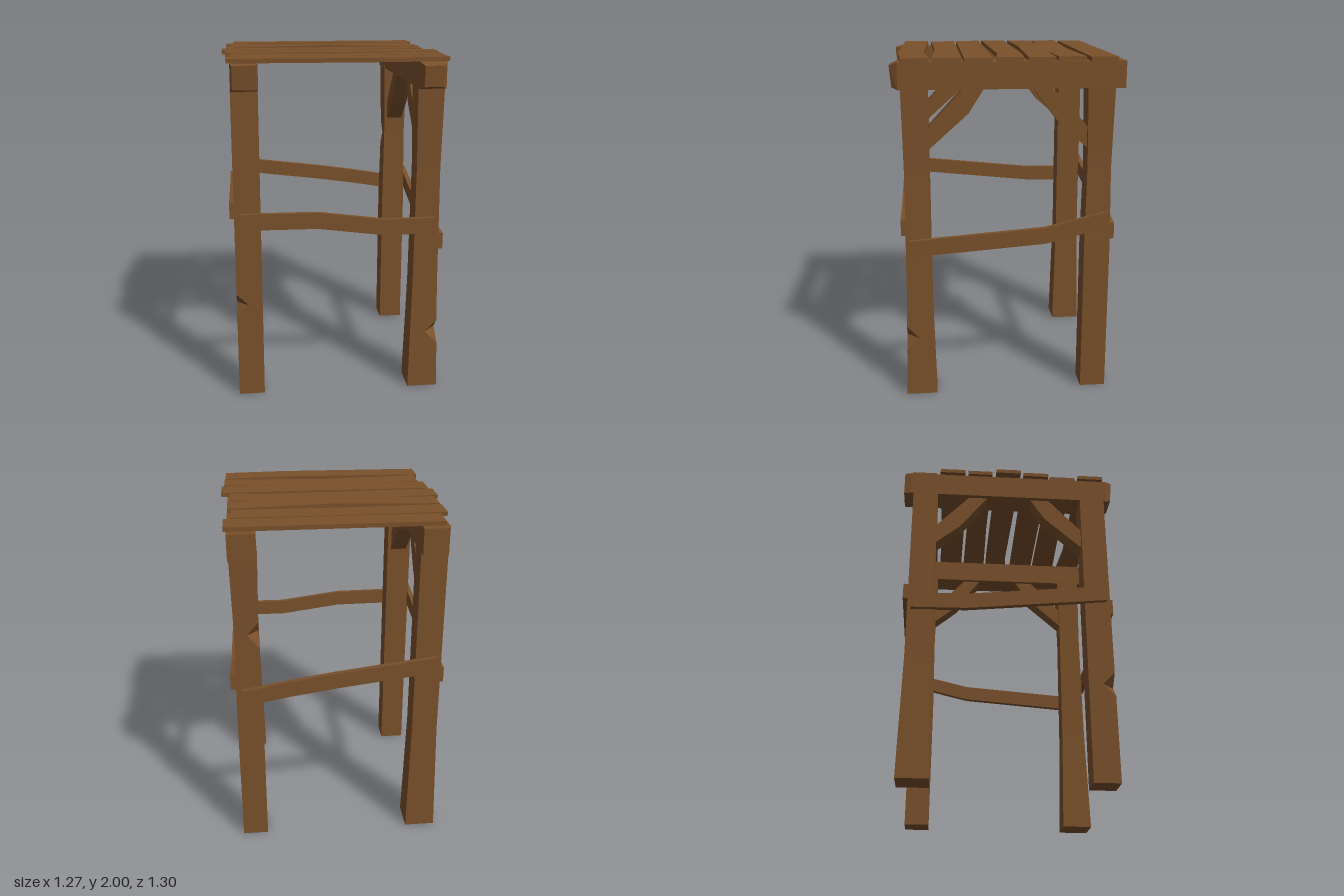
import * as THREE from 'three';

const wood = new THREE.MeshStandardMaterial({ color: 0x7a502b });
wood.name = 'brown wood';

// Flat-shaded closed solid lofted through rings of [x, y, z] points
function loft(name, rings) {
  const tris = [];
  const n = rings[0].length;
  const v = (p) => new THREE.Vector3(...p);
  const add = (a, b, c) => {
    const t = [v(a), v(b), v(c)];
    const area = t[1].clone().sub(t[0]).cross(t[2].clone().sub(t[0])).length();
    if (area > 1e-8) tris.push(t);
  };
  for (let i = 0; i < rings.length - 1; i++) {
    for (let j = 0; j < n; j++) {
      const k = (j + 1) % n, r = rings[i], s = rings[i + 1];
      add(r[j], r[k], s[k]);
      add(r[j], s[k], s[j]);
    }
  }
  const first = rings[0], last = rings[rings.length - 1];
  for (let j = 1; j < n - 1; j++) {
    add(first[0], first[j + 1], first[j]);
    add(last[0], last[j], last[j + 1]);
  }
  // Turn the faces outward whatever the ring direction
  const volume = tris.reduce((sum, [a, b, c]) => sum + a.dot(b.clone().cross(c)), 0);
  const pts = tris.flatMap(([a, b, c]) => (volume < 0 ? [a, c, b] : [a, b, c]));
  const geo = new THREE.BufferGeometry().setFromPoints(pts);
  geo.computeVertexNormals();
  const mesh = new THREE.Mesh(geo, wood);
  mesh.name = name;
  return mesh;
}

// Leg from [y, half width, notch depth] levels; (sx, sz) picks the notched corner
function leg(name, cx, cz, sx, sz, levels) {
  return loft(name, levels.map(([y, h, d = 0]) => [
    [sx * (h - d), sz * h], [sx * h, sz * (h - d)], [sx * h, -sz * h],
    [-sx * h, -sz * h], [-sx * h, sz * h],
  ].map(([x, z]) => [cx + x, y, cz + z])));
}

// Rail along z from sections [z, x0, x1, y0, y1]
function rail(name, sections) {
  return loft(name, sections.map(([z, x0, x1, y0, y1, lean = 0]) => [
    [x0, y0, z - lean], [x1, y0, z - lean], [x1, y1, z], [x0, y1, z],
  ]));
}

// Bent stretcher: path of [along, y], nailed outside the legs across x or z
function stretcher(name, axis, inner, outer, path) {
  const h = 0.047;
  return loft(name, path.map(([t, y]) => [
    [inner, y - h], [outer, y - h], [outer, y + h], [inner, y + h],
  ].map(([o, py]) => (axis === 'x' ? [t, py, o] : [o, py, t]))));
}

// Seat plank along x from sections [x, z0, z1, lift]
function plank(name, sections) {
  return loft(name, sections.map(([x, z0, z1, lift = 0]) => [
    [x, 1.963 + lift, z0], [x, 1.963 + lift, z1],
    [x, 1.987 + lift, z1], [x, 1.987 + lift, z0],
  ]));
}

export function createModel() {
  const model = new THREE.Group();
  model.name = 'woodenStool';

  // Legs, some flared at the foot or waisted, three with a chipped corner
  const c = 0.517;
  model.add(
    leg('frontLeftLeg', c, c, 1, 1, [
      [0, 0.09], [0.28, 0.083], [0.355, 0.081, 0.075], [0.43, 0.079],
      [0.65, 0.074], [1.36, 0.068], [1.83, 0.075]]),
    leg('frontRightLeg', -c, c, -1, 1, [
      [0, 0.075], [0.5, 0.075], [0.57, 0.075, 0.07], [0.64, 0.075], [1.83, 0.075]]),
    leg('backLeftLeg', c, -c, -1, -1, [
      [0, 0.075], [0.9, 0.075], [1.28, 0.069], [1.36, 0.068, 0.065],
      [1.44, 0.069], [1.83, 0.077]]),
    leg('backRightLeg', -c, -c, -1, -1, [[0, 0.09], [0.7, 0.075], [1.83, 0.075]]),
  );

  // Top rails with worn ends
  model.add(
    rail('leftRail', [
      [-0.65, 0.443, 0.597, 1.815, 1.963], [0.605, 0.443, 0.597, 1.815, 1.963],
      [0.648, 0.465, 0.572, 1.828, 1.945, 0.01]]),
    rail('rightRail', [
      [-0.65, -0.58, -0.44, 1.815, 1.963], [-0.61, -0.59, -0.44, 1.815, 1.963],
      [0.61, -0.59, -0.44, 1.815, 1.963], [0.648, -0.58, -0.45, 1.825, 1.957, 0.012]]),
  );

  // Bent corner braces between rails and legs
  for (const sx of [-1, 1]) {
    for (const sz of [-1, 1]) {
      const path = [
        [[0.46, 1.585], [0.46, 1.465]],
        [[0.34, 1.715], [sz > 0 ? 0.22 : 0.3, sz > 0 ? 1.68 : 1.6]],
        [[0.235, 1.83], [0.125, 1.83]],
      ];
      model.add(loft('cornerBrace', path.map(([[z0, y0], [z1, y1]]) => [
        [sx * 0.465, y0, sz * z0], [sx * 0.565, y0, sz * z0],
        [sx * 0.565, y1, sz * z1], [sx * 0.465, y1, sz * z1],
      ])));
    }
  }

  // Crooked stretchers on all four sides
  model.add(
    stretcher('frontStretcher', 'x', 0.587, 0.614,
      [[-0.56, 1.08], [-0.12, 1.077], [0.27, 1.025], [0.56, 1.027]]),
    stretcher('backStretcher', 'x', -0.622, -0.59,
      [[-0.56, 1.138], [0, 1.068], [0.27, 1.028], [0.56, 0.977]]),
    stretcher('leftStretcher', 'z', 0.59, 0.621,
      [[0.565, 0.915], [-0.21, 0.975], [-0.57, 1.062]]),
    stretcher('rightStretcher', 'z', -0.617, -0.587,
      [[0.57, 1.14], [-0.25, 1.055], [-0.57, 1.05]]),
  );

  // Seat planks, back to front, with slight bows
  const planks = [
    [[-0.57, -0.6, -0.45], [0.613, -0.6, -0.45]],
    [[-0.615, -0.43, -0.275], [0, -0.42, -0.267, -0.006], [0.575, -0.43, -0.275]],
    [[-0.61, -0.257, -0.105], [0, -0.246, -0.112, 0.012], [0.595, -0.257, -0.105]],
    [[-0.637, -0.082, 0.07], [0.38, -0.094, 0.046], [0.58, -0.083, 0.07]],
    [[-0.615, 0.09, 0.245], [0.635, 0.09, 0.245]],
    [[-0.585, 0.26, 0.415], [0, 0.257, 0.396, -0.006], [0.62, 0.26, 0.415]],
    [[-0.61, 0.433, 0.588], [0.25, 0.46, 0.607], [0.615, 0.433, 0.588]],
  ];
  for (const sections of planks) model.add(plank('seatPlank', sections));

  return model;
}
